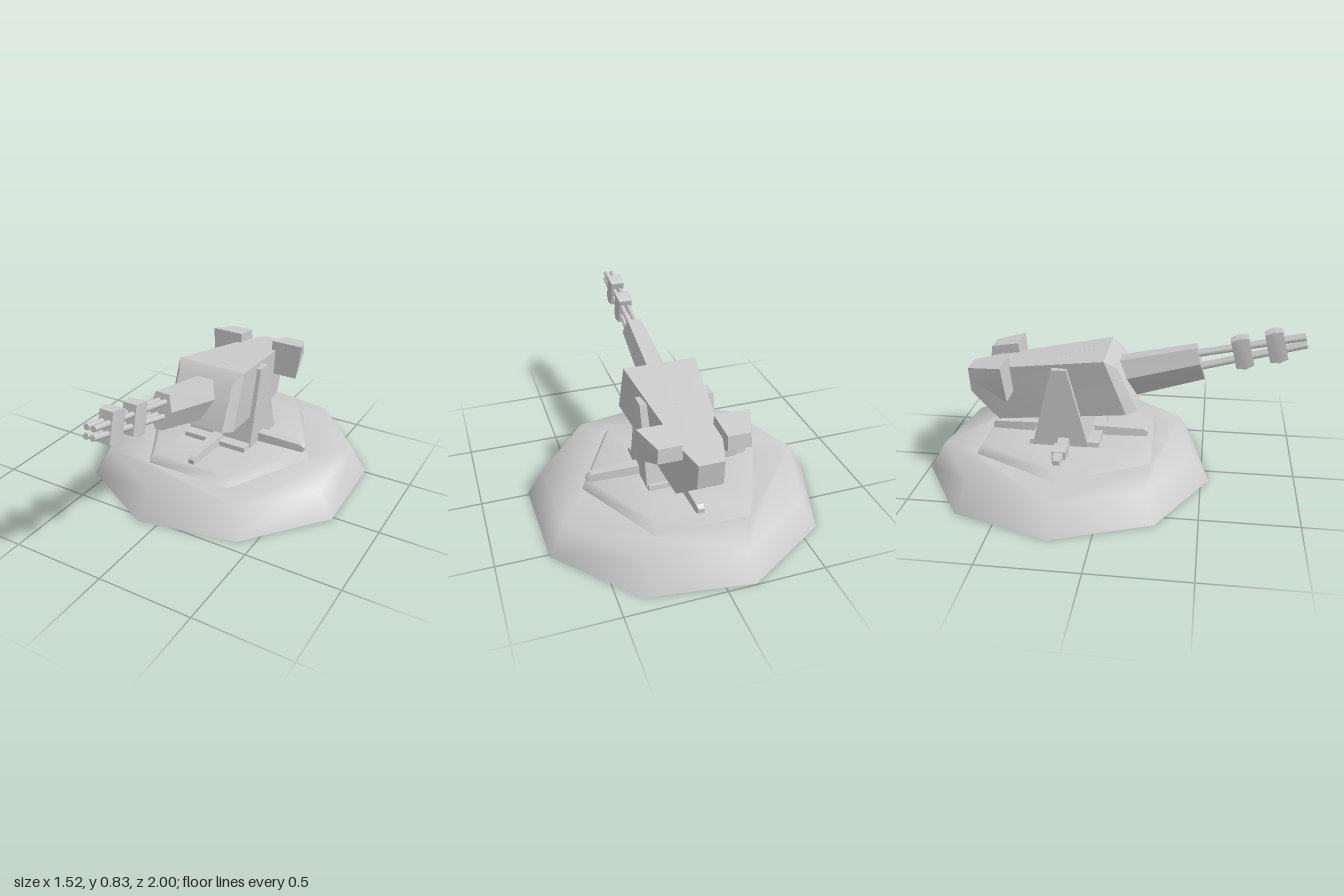
import * as THREE from 'three';
import { toCreasedNormals } from 'three/addons/utils/BufferGeometryUtils.js';

const material = new THREE.MeshStandardMaterial({ color: 0xcccccc });
const shellMaterial = new THREE.MeshStandardMaterial({ color: 0xcccccc, side: THREE.DoubleSide });
const CZ = -0.23; // middle of the base along z

function build(points, index) {
  const geo = new THREE.BufferGeometry();
  geo.setAttribute('position', new THREE.Float32BufferAttribute(points.flat(), 3));
  geo.setIndex(index);
  return geo;
}

// Solid through rings of points, listed front to back, each counter-clockwise from the front
function loft(rings, crease = 0.6) {
  const n = rings[0].length, last = (rings.length - 1) * n, index = [];
  for (let r = 0; r < rings.length - 1; r++) {
    for (let i = 0; i < n; i++) {
      const a = r * n + i, b = r * n + (i + 1) % n;
      index.push(a, a + n, b, b, a + n, b + n);
    }
  }
  for (let i = 1; i < n - 1; i++) index.push(0, i, i + 1, last, last + i + 1, last + i);
  return toCreasedNormals(build(rings.flat(), index), crease);
}

// Four-cornered ring: half width, then z and y of the bottom and of the top edge
const rect = (w, zb, yb, zt, yt, wt = w) => [[w, yb, zb], [wt, yt, zt], [-wt, yt, zt], [-w, yb, zb]];

// Open-bottomed tier: sloping wall plus a top with an optional hole
function tier(outline, scale, y0, y1, hole = []) {
  const n = outline.length, index = [];
  const top = outline.map(([x, z]) => [x * scale, z * scale]);
  const points = [
    ...outline.map(([x, z]) => [x, y0, z]),
    ...top.map(([x, z]) => [x, y1, z]),
    ...hole.map(([x, z]) => [x, y1, z]),
  ];
  for (let i = 0; i < n; i++) {
    const j = (i + 1) % n;
    index.push(i, i + n, j, j, i + n, j + n);
  }
  const flat = (list) => list.map(([x, z]) => new THREE.Vector2(x, z));
  const faces = THREE.ShapeUtils.triangulateShape(flat(top), hole.length ? [flat(hole)] : []);
  for (const [a, b, c] of faces) index.push(a + n, c + n, b + n);
  const geo = build(points, index);
  geo.computeVertexNormals();
  return geo;
}

function rod(a, b, radius) {
  const path = new THREE.LineCurve3(new THREE.Vector3(...a), new THREE.Vector3(...b));
  const geo = new THREE.CylinderGeometry(radius, radius, path.getLength(), 8);
  geo.rotateX(Math.PI / 2);
  const mesh = new THREE.Mesh(geo, material);
  mesh.position.copy(path.getPoint(0.5));
  mesh.lookAt(path.v2);
  return mesh;
}

export function createModel() {
  const model = new THREE.Group();
  model.name = 'gunTurret';
  const turret = new THREE.Group();
  turret.name = 'turret';
  turret.position.x = 0.01;
  model.add(turret);
  const add = (name, geo, parent = turret, mat = material) => {
    const mesh = geo.isMesh ? geo : new THREE.Mesh(geo, mat);
    mesh.name = name;
    parent.add(mesh);
    return mesh;
  };

  // Hollow stepped base
  const base = new THREE.Group();
  base.name = 'base';
  base.position.z = CZ;
  turret.add(base);
  const nonagon = Array.from({ length: 9 }, (_, i) => {
    const t = THREE.MathUtils.degToRad(18.5 + i * 40);
    return [0.78 * Math.cos(t), 0.78 * Math.sin(t)];
  });
  const hexagon = [[0.49, 0], [0.245, 0.465], [-0.245, 0.465], [-0.49, 0], [-0.245, -0.465], [0.245, -0.465]];
  const square = [[0.19, 0.19], [-0.19, 0.19], [-0.19, -0.19], [0.19, -0.19]];
  add('baseSkirt', tier(nonagon, 0.885, 0, 0.15, hexagon), base, shellMaterial);
  add('upperTier', tier(hexagon, 0.93, 0.15, 0.2, square), base, shellMaterial);
  add('mountPlate', toCreasedNormals(tier(square, 0.98, 0.2, 0.225), 0.6), base, shellMaterial);

  // Four tapered feet around the mount
  [0.41, 0.465, 0.43, 0.43].forEach((reach, i) => {
    const foot = add('foot', loft([
      rect(0.018, reach, 0.2, reach, 0.225, 0.015),
      rect(0.024, reach - 0.02, 0.2, reach - 0.02, 0.24, 0.02),
      rect(0.036, 0.14, 0.2, 0.14, 0.25, 0.03),
    ]), base);
    foot.rotation.y = [-Math.PI / 2, Math.PI / 2, 0, Math.PI][i];
  });
  add('footCollar', loft([
    rect(0.035, 0.05, 0.2, 0.05, 0.245),
    rect(0.04, 0, 0.2, 0, 0.252),
    rect(0.035, -0.05, 0.2, -0.05, 0.245),
  ]), base).position.x = -0.3;
  base.children[base.children.length - 1].rotation.y = Math.PI / 2;

  // Tapered cradle that carries the body
  add('cradle', loft([rect(0.192, -0.1, 0.2, -0.21, 0.63), rect(0.192, -0.4, 0.2, -0.29, 0.63)]));

  // Body, tapering to the rear
  add('body', loft([
    rect(0.16, 0.155, 0.413, 0.05, 0.645),
    rect(0.195, 0.1, 0.402, -0.015, 0.69),
    rect(0.11, -0.6, 0.3, -0.62, 0.593),
    rect(0.065, -0.76, 0.434, -0.77, 0.568),
  ]));
  const hatch = add('topHatch', new THREE.BoxGeometry(0.06, 0.008, 0.23));
  hatch.position.set(0.03, 0.656, -0.205);
  hatch.rotation.x = -0.162;

  // Rear side pods
  for (const side of [1, -1]) {
    const pod = add(side > 0 ? 'leftPod' : 'rightPod', loft([
      [[0.262, 0.47, -0.51], [0.283, 0.66, -0.53], [0.1, 0.66, -0.53], [0.1, 0.47, -0.51]],
      [[0.23, 0.56, -0.69], [0.225, 0.633, -0.68], [0.11, 0.633, -0.68], [0.11, 0.56, -0.69]],
    ]));
    pod.scale.x = side;
  }

  // Six-sided barrel housing, narrow along its underside
  const housingRing = (w, zb, yb, zt, yt) =>
    [[0.3, 0], [1, 0.55], [0.6, 1], [-0.6, 1], [-1, 0.55], [-0.3, 0]].map(([x, t]) =>
      [x * w, yb + t * (yt - yb), zb + t * (zt - zb)]);
  add('barrelHousing', loft([
    housingRing(0.063, 0.495, 0.553, 0.447, 0.73),
    housingRing(0.08, 0.12, 0.44, 0.03, 0.64),
  ], 0.5));

  // Four barrels in two rows
  for (const x of [-0.018, 0.018]) {
    add('upperBarrel', rod([x, 0.68, 0.41], [x, 0.803, 0.99], 0.015));
    add('lowerBarrel', rod([x, 0.61, 0.44], [x, 0.763, 1.0], 0.015));
  }

  // Clamps around the barrels
  for (const [y, z] of [[0.75, 0.848], [0.708, 0.68]]) {
    const clamp = add('barrelClamp', loft([
      rect(0.036, 0.046, -0.074, 0.046, 0.074),
      rect(0.043, 0, -0.083, 0, 0.083),
      rect(0.036, -0.046, -0.074, -0.046, 0.074),
    ], 0.5));
    clamp.position.set(0, y, z);
    clamp.rotation.x = -0.25;
  }
  return model;
}
